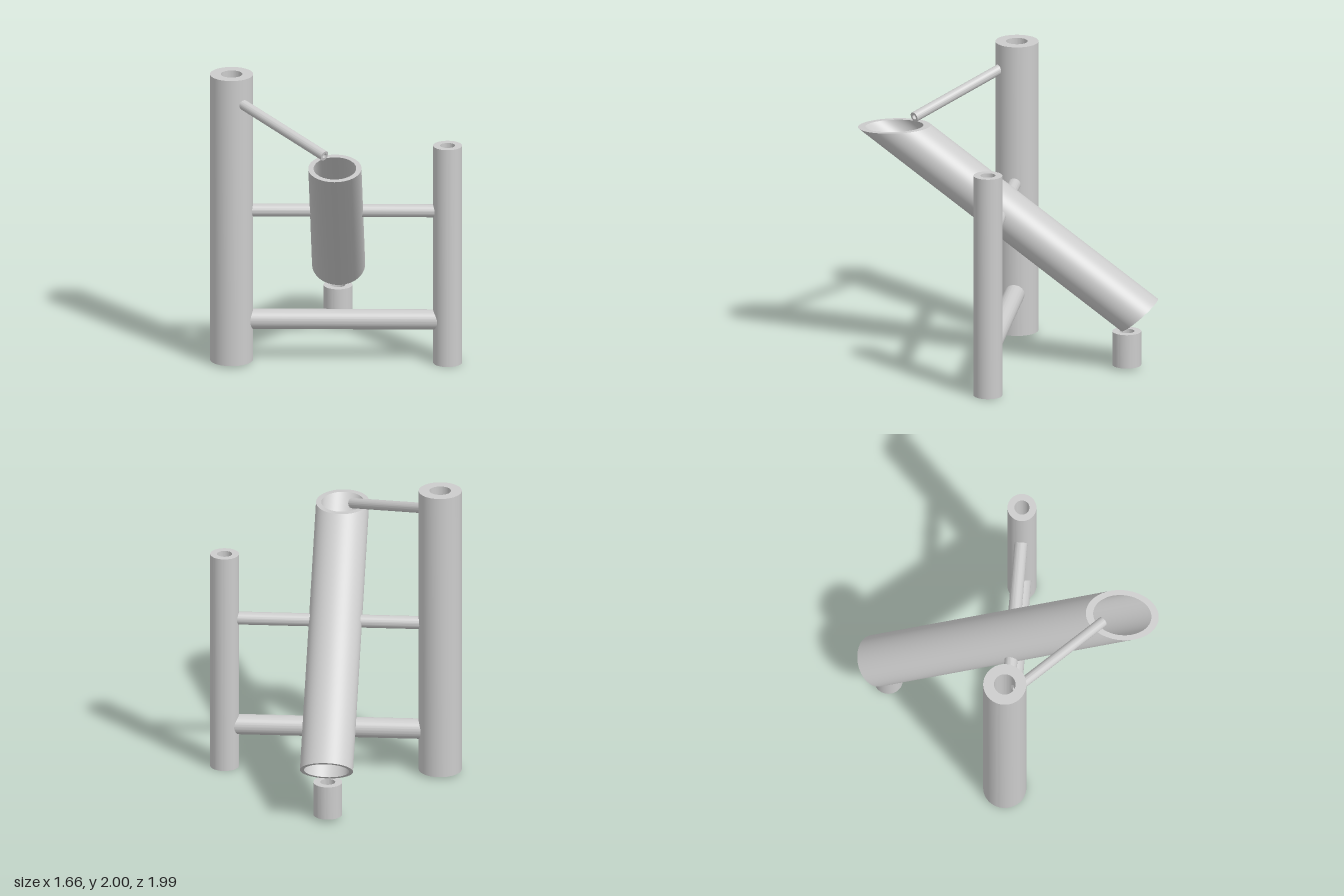
import * as THREE from 'three';
import { toCreasedNormals } from 'three/addons/utils/BufferGeometryUtils.js';

const material = new THREE.MeshStandardMaterial({ color: 0xcccccc });
const vec = (x, y, z) => new THREE.Vector3(x, y, z);

// Hollow pipe lofted between two end rings; each ring has a centre c,
// two half axes u and v, and a bore ratio k
function loft(name, low, high) {
  const profile = [[low.k, 0], [1, 0], [1, 1], [high.k, 1], [low.k, 0]];
  const geo = new THREE.LatheGeometry(profile.map(p => new THREE.Vector2(...p)), 64);
  const pos = geo.attributes.position;
  const p = vec(0, 0, 0);
  for (let i = 0; i < pos.count; i++) {
    const x = pos.getX(i), t = pos.getY(i), z = pos.getZ(i);
    p.lerpVectors(low.c, high.c, t)
      .addScaledVector(vec(0, 0, 0).lerpVectors(low.u, high.u, t), x)
      .addScaledVector(vec(0, 0, 0).lerpVectors(low.v, high.v, t), z);
    pos.setXYZ(i, p.x, p.y, p.z);
  }
  const mesh = new THREE.Mesh(toCreasedNormals(geo, Math.PI / 5), material);
  mesh.name = name;
  return mesh;
}

// Straight round pipe from a to b
function pipe(name, a, b, r, k) {
  const q = new THREE.Quaternion().setFromUnitVectors(vec(0, 1, 0), b.clone().sub(a).normalize());
  const u = vec(r, 0, 0).applyQuaternion(q), v = vec(0, 0, r).applyQuaternion(q);
  return loft(name, { c: a, u, v, k }, { c: b, u, v, k });
}

export function createModel() {
  const group = new THREE.Group();
  group.name = 'pipeFrame';
  const z = 0.037;

  // Upright posts and the short rear foot
  group.add(
    pipe('tallPost', vec(-0.69, 0.015, z), vec(-0.69, 2, z), 0.142, 0.5),
    pipe('shortPost', vec(0.73, 0, z), vec(0.73, 1.51, z), 0.095, 0.52),
    pipe('rearFoot', vec(-0.003, 0.02, -0.785), vec(-0.003, 0.25, -0.785), 0.095, 0.52),
  );

  // Crossbars between the posts
  group.add(
    pipe('lowerCrossbar', vec(-0.72, 0.298, z), vec(0.73, 0.298, z), 0.067, 0.5),
    pipe('upperCrossbar', vec(-0.69, 1.055, z), vec(0.73, 1.055, z), 0.043, 0.5),
  );

  // Large slanted tube with a level cut at the top
  const u = vec(0.175, 0, 0);
  group.add(loft('slantedTube',
    { c: vec(0, 0.365, -0.87), u, v: vec(0, -0.105, 0.12), k: 0.85 },
    { c: vec(0, 1.598, 0.757), u, v: vec(0, -0.0125, 0.24), k: 0.8 }));

  // Thin brace from the tall post to the tube's mouth
  group.add(pipe('brace', vec(-0.662, 1.842, 0.1), vec(-0.07, 1.642, 0.635), 0.034, 0.5));

  return group;
}
